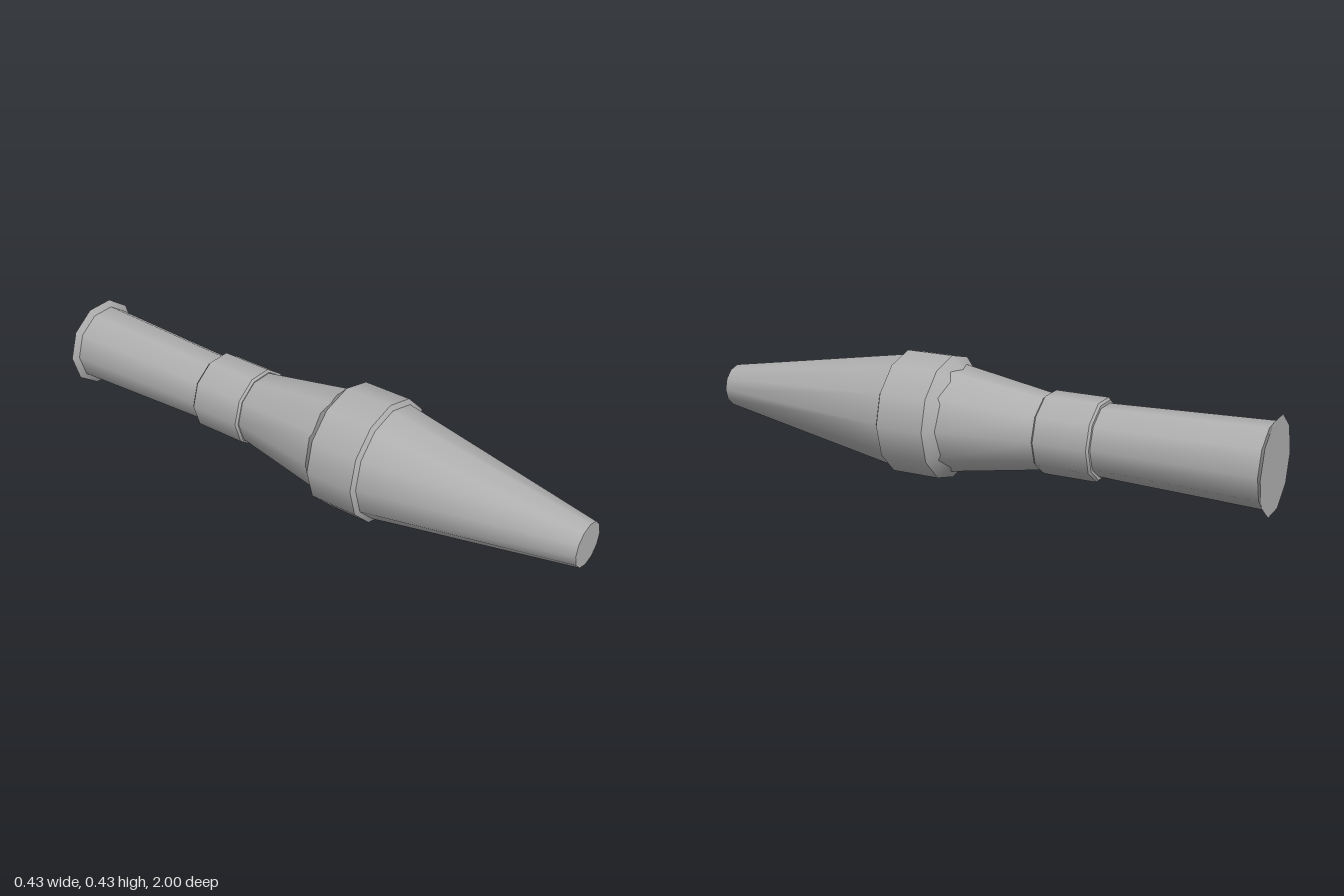
import * as THREE from 'three';
import { mergeGeometries } from 'three/addons/utils/BufferGeometryUtils.js';

const AXIS_HEIGHT = 0.213;

// Faceted solid of revolution along z; profile is [z, radius] from back to front.
// Each band is its own lathe: smooth around, sharp between bands.
function turned(name, sides, profile, material) {
  const bands = [];
  for (let i = 0; i < profile.length - 1; i++) {
    const points = [profile[i], profile[i + 1]].map(([z, r]) => new THREE.Vector2(r, z));
    bands.push(new THREE.LatheGeometry(points, sides, Math.PI / 2));
  }
  const geometry = mergeGeometries(bands);
  geometry.rotateX(Math.PI / 2);
  const mesh = new THREE.Mesh(geometry, material);
  mesh.name = name;
  mesh.position.y = AXIS_HEIGHT;
  return mesh;
}

export function createModel() {
  const group = new THREE.Group();
  group.name = 'taperedBody';
  const grey = new THREE.MeshStandardMaterial({ color: 0xb0b0b0 });
  grey.name = 'grey';

  group.add(
    // Long blunt nose
    turned('noseCone', 12, [[0.27, 0.2], [1, 0.075], [1, 0]], grey),
    // Widest band with a chamfer at each end
    turned('mainBand', 12, [[0.064, 0.165], [0.11, 0.213], [0.28, 0.213], [0.29, 0.197], [0.29, 0]], grey),
    // Taper from the main band to the collar
    turned('rearTaper', 10, [[-0.26, 0.124], [0.1, 0.184]], grey),
    // Collar with small chamfers
    turned('collar', 10, [
      [-0.443, 0.1], [-0.443, 0.13], [-0.436, 0.1375],
      [-0.252, 0.1375], [-0.245, 0.13], [-0.245, 0.1],
    ], grey),
    // Tail tube ending in a thin flared rim
    turned('tailTube', 10, [[-0.99, 0.137], [-0.43, 0.119]], grey),
    turned('tailRim', 10, [[-1, 0], [-1, 0.159], [-0.985, 0.136]], grey),
  );
  return group;
}
